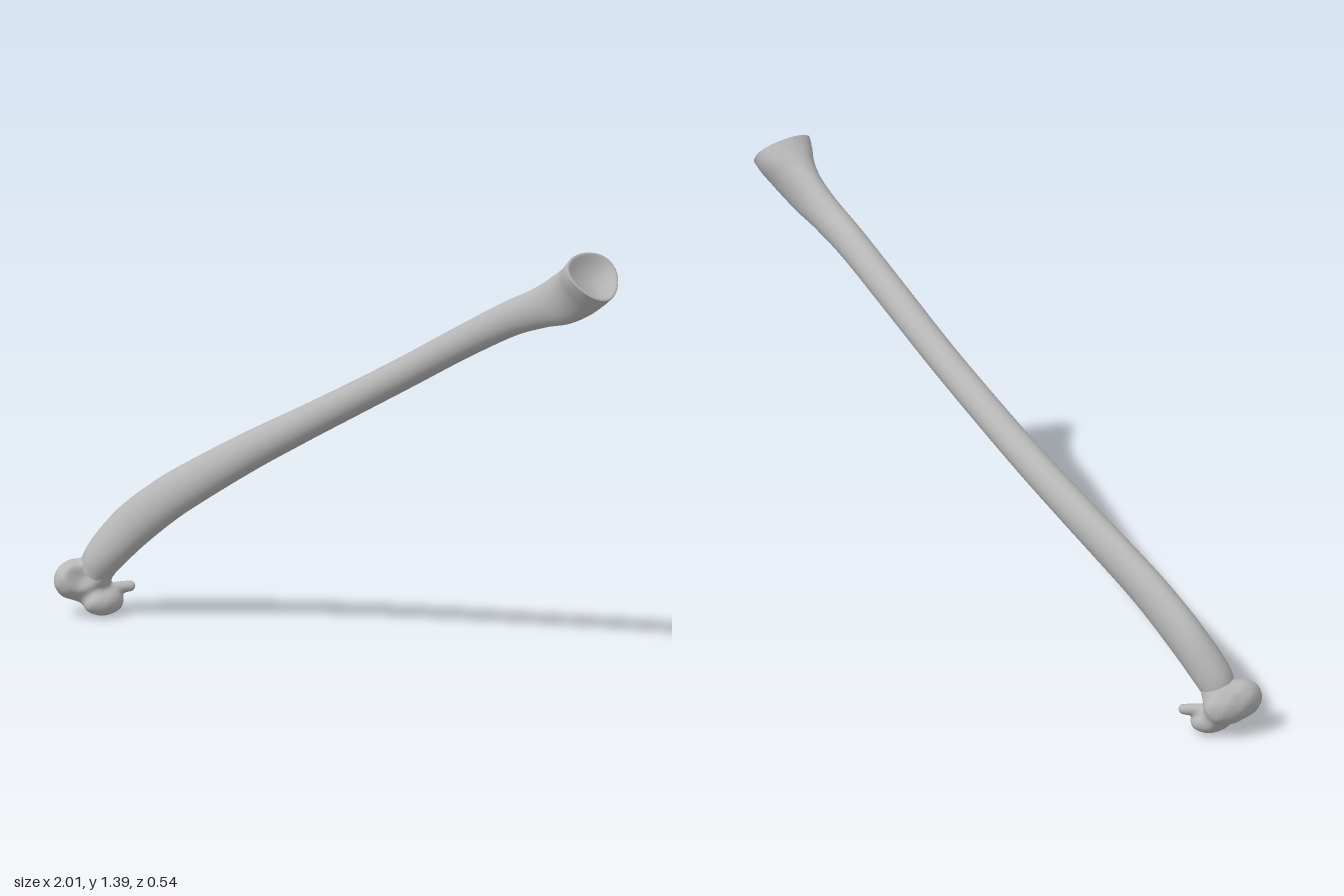
import * as THREE from 'three';
import { mergeVertices } from 'three/addons/utils/BufferGeometryUtils.js';

const V3 = (x, y, z) => new THREE.Vector3(x, y, z);
const SIDES = 40;

// Shaft stations: centre x, y, z, half height, half depth, triangularity
const STATIONS = [
  [-0.905, 0.135, 0.155, 0.050, 0.052, 0],
  [-0.875, 0.190, 0.142, 0.062, 0.058, 0],
  [-0.800, 0.283, 0.108, 0.070, 0.055, 0],
  [-0.700, 0.370, 0.078, 0.069, 0.052, 0],
  [-0.600, 0.442, 0.050, 0.066, 0.050, 0],
  [-0.400, 0.570, -0.005, 0.059, 0.050, 0],
  [-0.200, 0.685, -0.048, 0.053, 0.049, 0],
  [0.000, 0.797, -0.080, 0.050, 0.048, 0],
  [0.200, 0.910, -0.108, 0.049, 0.047, 0],
  [0.400, 1.025, -0.130, 0.050, 0.047, 0],
  [0.600, 1.133, -0.148, 0.054, 0.046, 0],
  [0.730, 1.190, -0.160, 0.062, 0.046, 0.05],
  [0.815, 1.228, -0.168, 0.077, 0.049, 0.1],
  [0.880, 1.265, -0.173, 0.083, 0.066, 0.18],
  [0.925, 1.298, -0.175, 0.085, 0.088, 0.22],
  [0.953, 1.322, -0.175, 0.086, 0.096, 0.22],
];

// Joins equal rings of points into one smooth surface
function loft(rings) {
  const pos = [], index = [], n = SIDES;
  rings.forEach((ring) => ring.forEach((p) => pos.push(p.x, p.y, p.z)));
  for (let i = 0; i < rings.length - 1; i++) {
    for (let j = 0; j < n; j++) {
      const a = i * n + j, b = i * n + (j + 1) % n;
      index.push(a, a + n, b, b, a + n, b + n);
    }
  }
  const g = new THREE.BufferGeometry();
  g.setAttribute('position', new THREE.Float32BufferAttribute(pos, 3));
  g.setIndex(index);
  g.computeVertexNormals();
  return g;
}

const path = new THREE.CatmullRomCurve3(STATIONS.map((s) => V3(s[0], s[1], s[2])));
const sizes = new THREE.CatmullRomCurve3(STATIONS.map((s) => V3(s[3], s[4], s[5])));
// Both curves share the same parameter per station
path.curveType = sizes.curveType = 'catmullrom';

function ringAt(t, scale = 1, push = 0) {
  const c = path.getPoint(t), s = sizes.getPoint(t), T = path.getTangent(t);
  const W = V3(0, 0, 1).addScaledVector(T, -T.z).normalize();
  const up = W.clone().cross(T);
  return Array.from({ length: SIDES }, (_, j) => {
    const a = (j / SIDES) * Math.PI * 2;
    const w = s.y * (1 + s.z * (Math.sin(a) - 0.1)) * scale;
    return c.clone()
      .addScaledVector(W, Math.cos(a) * w)
      .addScaledVector(up, Math.sin(a) * s.x * scale)
      .addScaledVector(T, push);
  });
}

// Distance helpers for the knobbly lower joint
function ellipsoid(p, c, r) {
  const x = (p.x - c[0]) / r[0], y = (p.y - c[1]) / r[1], z = (p.z - c[2]) / r[2];
  return (Math.hypot(x, y, z) - 1) * Math.min(...r);
}
function capsule(p, a, b, r) {
  const ab = b.clone().sub(a), ap = p.clone().sub(a);
  const h = THREE.MathUtils.clamp(ap.dot(ab) / ab.lengthSq(), 0, 1);
  return ap.addScaledVector(ab, -h).length() - r;
}
function blend(a, b, k) {
  const h = Math.max(k - Math.abs(a - b), 0) / k;
  return Math.min(a, b) - h * h * k * 0.25;
}

const NECK = [V3(-0.9, 0.14, 0.153), V3(-0.83, 0.25, 0.118)];
const SPUR = [V3(-0.885, 0.08, 0.1), V3(-0.855, 0.086, 0.055)];

function jointField(p) {
  let d = capsule(p, NECK[0], NECK[1], 0.05);
  d = blend(d, ellipsoid(p, [-0.93, 0.1, 0.15], [0.055, 0.06, 0.065]), 0.03);
  d = blend(d, ellipsoid(p, [-0.945, 0.115, 0.203], [0.052, 0.06, 0.069]), 0.03);
  d = blend(d, ellipsoid(p, [-0.887, 0.046, 0.135], [0.05, 0.044, 0.07]), 0.02);
  d = blend(d, capsule(p, SPUR[0], SPUR[1], 0.017), 0.015);
  // Hollow between the two knobs
  const hollow = p.distanceTo(V3(-0.868, 0.135, 0.235)) - 0.045;
  d = -blend(-d, hollow, 0.02);
  return d + 0.0012 * Math.sin(p.x * 90) * Math.sin(p.y * 80) * Math.sin(p.z * 85);
}

// Sphere shrunk along its rays onto the blended joint shape
function jointGeometry() {
  let g = new THREE.IcosahedronGeometry(1, 26);
  g.deleteAttribute('uv');
  g.deleteAttribute('normal');
  g = mergeVertices(g, 1e-5);
  const centre = V3(-0.91, 0.09, 0.15), pos = g.attributes.position;
  const dir = V3(), p = V3();
  for (let i = 0; i < pos.count; i++) {
    dir.fromBufferAttribute(pos, i).normalize();
    let r = 0.26, d = 1;
    for (let k = 0; k < 120 && r > 0.005; k++) {
      d = jointField(p.copy(centre).addScaledVector(dir, r));
      if (d < 0.0002) break;
      r -= Math.max(d * 0.6, 0.0005);
    }
    p.copy(centre).addScaledVector(dir, r);
    pos.setXYZ(i, p.x, p.y, p.z);
  }
  g.computeVertexNormals();
  return g;
}

export function createModel() {
  const group = new THREE.Group();
  group.name = 'longBone';
  const bone = new THREE.MeshStandardMaterial({ color: 0xb8b8b8 });
  bone.name = 'bone grey';
  const add = (name, geometry) => {
    const mesh = new THREE.Mesh(geometry, bone);
    mesh.name = name;
    group.add(mesh);
  };

  // Curved shaft flaring into the upper head
  const steps = 120;
  const rings = [];
  for (let i = 0; i <= steps; i++) rings.push(ringAt(i / steps));
  add('shaft', loft(rings));

  // Rounded rim and shallow socket closing the upper head
  const dish = [[1, 0], [0.96, 0.003], [0.88, 0], [0.7, -0.01], [0.45, -0.019], [0.2, -0.023], [0.001, -0.024]];
  add('upperSocket', loft(dish.map(([s, d]) => ringAt(1, s, d))));

  // Lower joint with two knobs and a spur
  add('lowerJoint', jointGeometry());
  return group;
}
